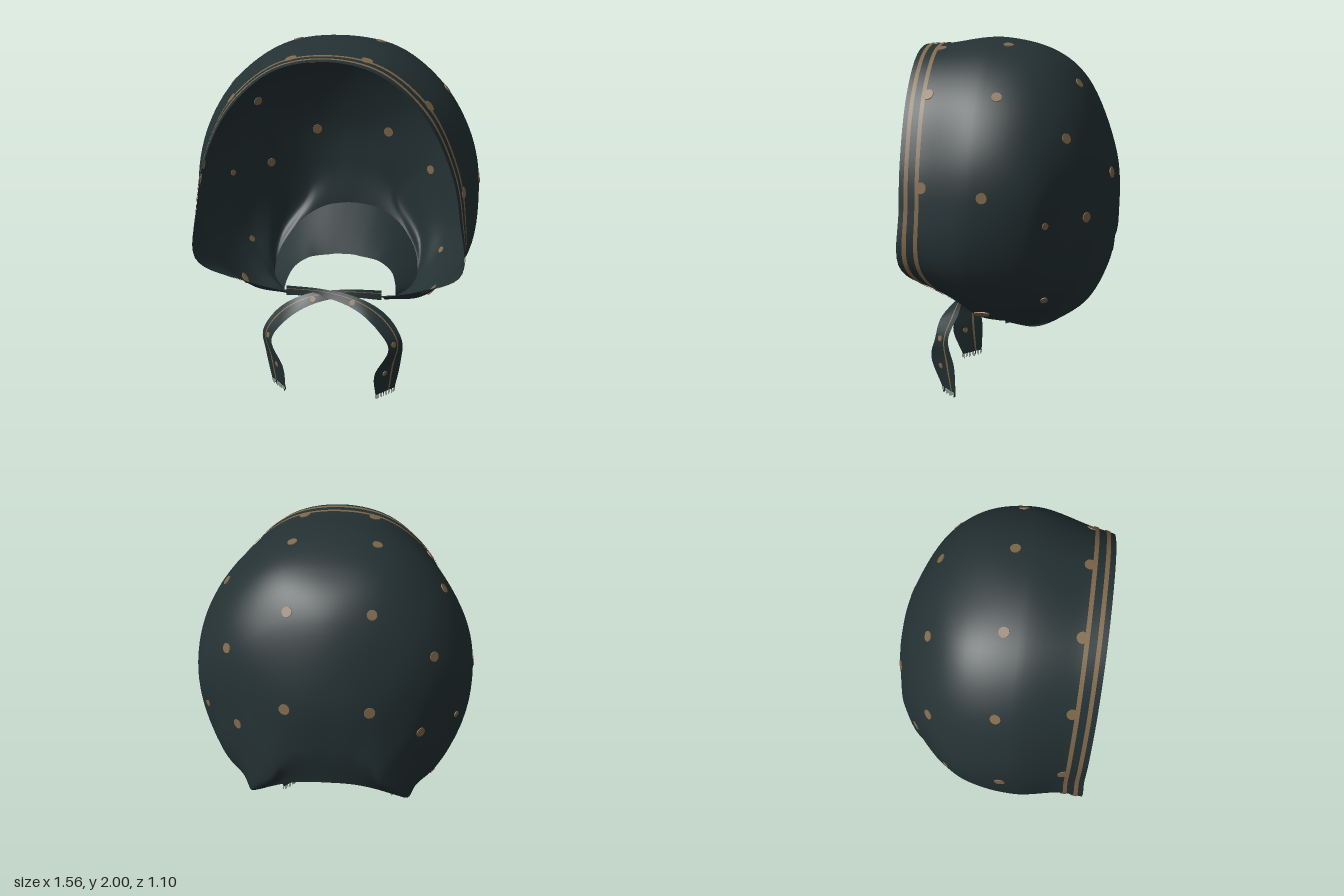
import * as THREE from 'three';
import { ParametricGeometry } from 'three/addons/geometries/ParametricGeometry.js';

const cloth = new THREE.MeshStandardMaterial({ name: 'dark teal cloth', color: 0x243133, side: THREE.DoubleSide });
const tan = new THREE.MeshStandardMaterial({ name: 'tan print', color: 0x80694c, side: THREE.DoubleSide });

// Half arches from the left tie corner up to the centre line
const frontEdge = [[.27, .58, .3], [.48, .68, .4], [.71, .86, .54], [.69, 1.15, .54], [.64, 1.4, .54], [.5, 1.69, .54], [.27, 1.9, .54], [0, 1.96, .54]];
const bandBack = [[.27, .56, .24], [.5, .63, .3], [.7, .85, .42], [.71, 1.17, .42], [.655, 1.43, .42], [.51, 1.72, .42], [.27, 1.915, .42], [0, 1.965, .42]];
const crown = [[.28, .52, .2], [.5, .55, .18], [.735, .84, .18], [.775, 1.2, .15], [.72, 1.48, .13], [.56, 1.75, .12], [.31, 1.94, .12], [0, 2, .12]];
const crownBack = [[.3, .49, .12], [.5, .53, .05], [.69, .79, -.05], [.735, 1.18, -.14], [.68, 1.46, -.14], [.53, 1.71, -.15], [.29, 1.89, -.16], [0, 1.93, -.17]];
const upperBack = [[.32, .47, .07], [.46, .52, -.08], [.6, .74, -.23], [.61, 1.15, -.29], [.56, 1.4, -.32], [.43, 1.6, -.34], [.22, 1.74, -.35], [0, 1.78, -.36]];
const midBack = [[.33, .465, .05], [.44, .5, -.12], [.49, .7, -.34], [.44, 1.02, -.44], [.37, 1.18, -.47], [.27, 1.28, -.5], [.14, 1.35, -.52], [0, 1.37, -.525]];
const lowBack = [[.33, .46, .05], [.43, .49, -.14], [.44, .64, -.4], [.3, .85, -.52], [.24, .96, -.535], [.16, 1.03, -.54], [.08, 1.07, -.545], [0, 1.09, -.545]];
const napeRim = [[.33, .46, .05], [.43, .48, -.15], [.42, .58, -.33], [.33, .7, -.44], [.25, .76, -.48], [.16, .8, -.505], [.08, .815, -.515], [0, .82, -.52]];
const neckEdge = [[.33, .48, .06], [.32, .52, -.02], [.29, .56, -.09], [.22, .6, -.13], [.16, .61, -.15], [.1, .615, -.16], [.05, .62, -.17], [0, .62, -.17]];

const vec = p => new THREE.Vector3(...p);
const curve = pts => new THREE.CatmullRomCurve3(pts);

// Full arch from right to left, mirrored from its half
function arch(half) {
  const right = half.map(([x, y, z]) => vec([-x, y, z]));
  const left = half.slice(0, -1).reverse().map(vec);
  return curve([...right, ...left]);
}

const arches = [frontEdge, bandBack, crown, crownBack, upperBack, midBack, lowBack, napeRim].map(arch);
const shellPoint = (u, v) => curve(arches.map(a => a.getPoint(u))).getPoint(v);

function shellNormal(u, v) {
  const e = 0.004;
  const at = (a, b) => shellPoint(THREE.MathUtils.clamp(a, 0, 1), THREE.MathUtils.clamp(b, 0, 1));
  const du = at(u + e, v).sub(at(u - e, v));
  const dv = at(u, v + e).sub(at(u, v - e));
  return du.cross(dv).normalize();
}

function sheet(name, material, point, nu, nv) {
  const geometry = new ParametricGeometry((u, v, target) => target.copy(point(u, v)), nu, nv);
  const mesh = new THREE.Mesh(geometry, material);
  mesh.name = name;
  return mesh;
}

// Thin round spot lying in the cloth, visible on both sides
function spot(position, normal, radius, stretch = 1) {
  const mesh = new THREE.Mesh(new THREE.CylinderGeometry(radius, radius, 0.0095, 12), tan);
  mesh.name = 'spot';
  mesh.position.copy(position);
  mesh.quaternion.setFromUnitVectors(new THREE.Vector3(0, 1, 0), normal);
  mesh.scale.z = stretch;
  return mesh;
}

function makeSpots() {
  const group = new THREE.Group();
  group.name = 'spots';
  const samples = [];
  for (let i = 0; i <= 120; i++) for (let j = 0; j <= 90; j++) {
    samples.push({ u: i / 120, v: j / 90, p: shellPoint(i / 120, j / 90) });
  }
  const places = [
    [.58, 1.74, .05, .027], [.21, 1.98, .055, .027], [.77, 1.24, .1, .028],
    [.21, 1.78, -.33, .027], [.56, 1.52, -.31, .027], [.49, 1.1, -.39, .027],
    [.21, 1.29, -.52, .03], [.7, 1.27, .42, .03], [.52, 1.72, .42, .03],
    [.18, 1.94, .415, .03], [.55, .57, .14, .024], [.6, .66, -.2, .02], [.7, 1.1, -.22, .018]
  ];
  for (const [x, y, z, r] of places) for (const side of [1, -1]) {
    const goal = new THREE.Vector3(x * side, y, z);
    const best = samples.reduce((a, b) => (b.p.distanceToSquared(goal) < a.p.distanceToSquared(goal) ? b : a));
    group.add(spot(best.p, shellNormal(best.u, best.v), r, y < 0.6 ? 2 : 1));
  }
  return group;
}

// Ribbon running from one tie corner across the middle and hanging on the other side
const outerEdge = [[-.27, .61, .27], [-.05, .605, .28], [.16, .57, .3], [.31, .48, .31], [.395, .36, .35], [.39, .2, .32], [.36, .03, .32]];
const innerEdge = [[-.27, .55, .27], [-.05, .565, .3], [.14, .52, .35], [.27, .44, .42], [.33, .34, .44], [.26, .2, .48], [.26, .03, .42]];

function makeRibbon(side) {
  const group = new THREE.Group();
  group.name = side > 0 ? 'leftTie' : 'rightTie';
  const place = ([x, y, z]) => vec([x * side, y, z + (side > 0 ? 0.012 : 0)]);
  const outer = curve(outerEdge.map(place));
  const inner = curve(innerEdge.map(place));
  const at = (t, w) => outer.getPoint(t).lerp(inner.getPoint(t), w);
  const strip = (name, material, a, b) =>
    group.add(sheet(name, material, (u, v) => at(u, a + (b - a) * v), 48, 2));
  strip('tieCloth', cloth, 0, 0.28);
  strip('tieStripe', tan, 0.28, 0.35);
  strip('tieCloth', cloth, 0.35, 1);

  // Spots along the ribbon
  for (const t of [0.3, 0.66, 0.86]) {
    const along = at(t + 0.01, 0.6).sub(at(t - 0.01, 0.6));
    const across = at(t, 1).sub(at(t, 0));
    group.add(spot(at(t, 0.6), along.cross(across).normalize(), 0.016));
  }
  // Frayed end
  for (let i = 0; i <= 12; i++) {
    const length = 0.022 + 0.01 * ((i * 7) % 3) / 2;
    const thread = new THREE.Mesh(new THREE.BoxGeometry(0.003, length, 0.003), cloth);
    thread.name = 'fringeThread';
    thread.position.copy(at(1, i / 12));
    thread.position.y -= length / 2 - 0.002;
    group.add(thread);
  }
  return group;
}

export function createModel() {
  const model = new THREE.Group();
  model.name = 'bonnet';

  model.add(sheet('bonnetShell', cloth, shellPoint, 96, 56));

  // Turned-in hem around the neck
  const rim = arch(napeRim), neck = arch(neckEdge);
  model.add(sheet('neckHem', cloth, (u, v) => rim.getPoint(u).lerp(neck.getPoint(u), v), 96, 6));

  // Two stripes beside the face opening
  for (const [a, b] of [[0.25, 0.45], [0.77, 0.94]]) {
    const stripe = (u, v) => {
      const uu = 0.07 + 0.86 * u, vv = (a + (b - a) * v) / (arches.length - 1);
      return shellPoint(uu, vv).addScaledVector(shellNormal(uu, vv), 0.005);
    };
    model.add(sheet('faceStripe', tan, stripe, 96, 2));
  }

  model.add(makeSpots(), makeRibbon(1), makeRibbon(-1));
  return model;
}
